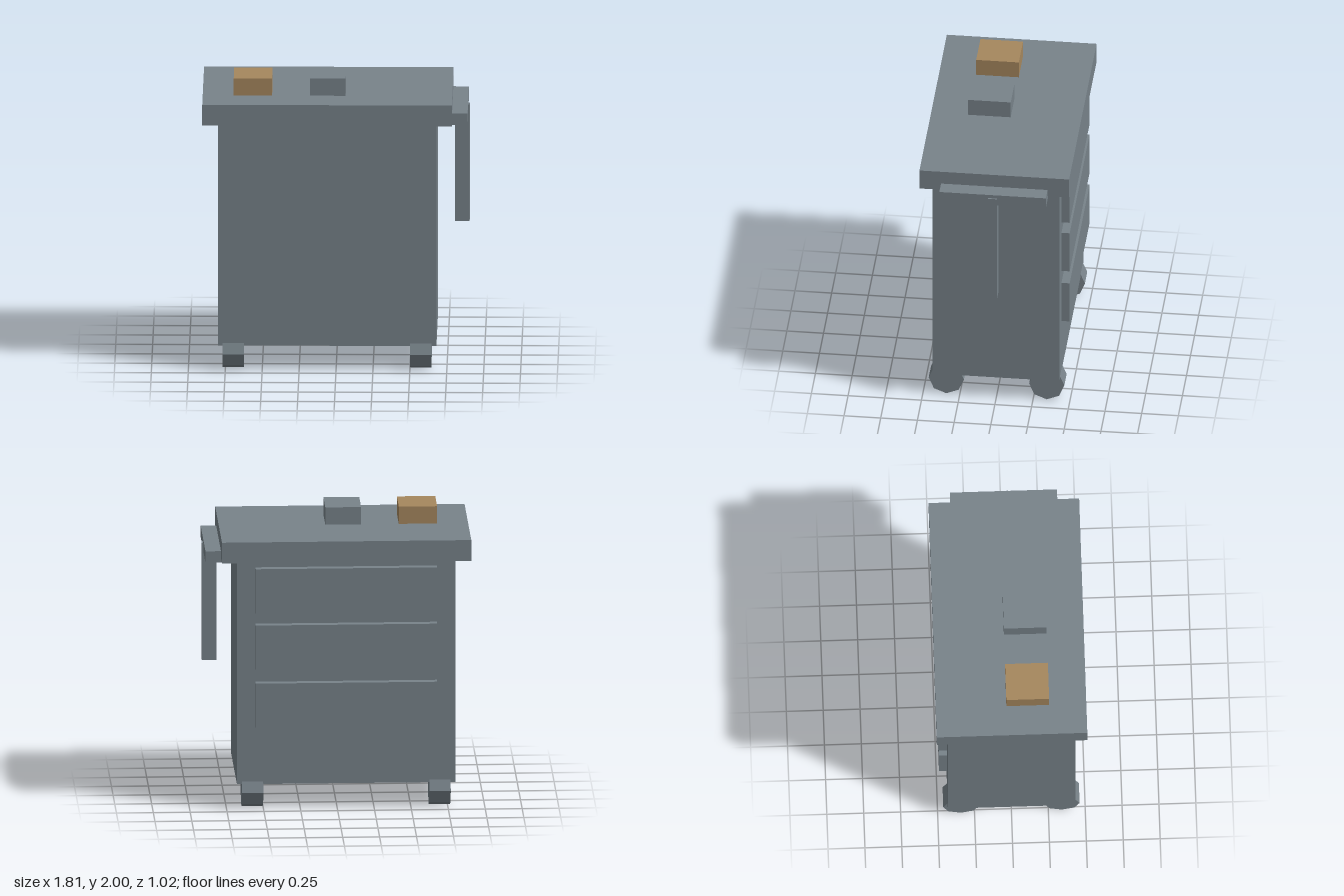
import * as THREE from 'three';

export function createModel() {
  const group = new THREE.Group();
  const grey = new THREE.MeshStandardMaterial({ color: 0x78838a });
  grey.name = 'steel grey';
  const tan = new THREE.MeshStandardMaterial({ color: 0xa6875e });
  tan.name = 'tan';

  // box given by its minimum and maximum on each axis
  function box(name, [x0, x1], [y0, y1], [z0, z1], material = grey) {
    const mesh = new THREE.Mesh(new THREE.BoxGeometry(x1 - x0, y1 - y0, z1 - z0), material);
    mesh.position.set((x0 + x1) / 2, (y0 + y1) / 2, (z0 + z1) / 2);
    mesh.name = name;
    group.add(mesh);
  }

  // cabinet and worktop
  box('cabinet', [-0.8, 0.68], [0.175, 1.735], [-0.432, 0.432]);
  box('worktop', [-0.905, 0.785], [1.735, 1.88], [-0.51, 0.51]);

  // drawer fronts on the back
  for (const y of [0.735, 1.14, 1.533]) {
    box('drawerFront', [-0.675, 0.555], [y - 0.154, y + 0.154], [-0.488, -0.425]);
  }

  // side rail with a hanging strap
  box('sideRail', [0.745, 0.89], [1.705, 1.785], [-0.363, 0.363]);
  box('hangingStrap', [0.8, 0.9], [0.945, 1.76], [-0.03, 0.03]);

  // small boxes on the worktop
  box('tanBox', [-0.695, -0.435], [1.88, 2], [-0.032, 0.258], tan);
  box('greyBox', [-0.18, 0.063], [1.88, 2], [-0.032, 0.258]);

  // eight-sided casters, resting on a corner, with flat faces
  const wheel = new THREE.CylinderGeometry(0.12, 0.12, 0.144, 8).rotateZ(Math.PI / 2).toNonIndexed();
  wheel.computeVertexNormals();
  for (const x of [-0.696, 0.574]) {
    for (const z of [-0.342, 0.342]) {
      const mesh = new THREE.Mesh(wheel, grey);
      mesh.position.set(x, 0.12, z);
      mesh.name = 'caster';
      group.add(mesh);
    }
  }
  return group;
}
